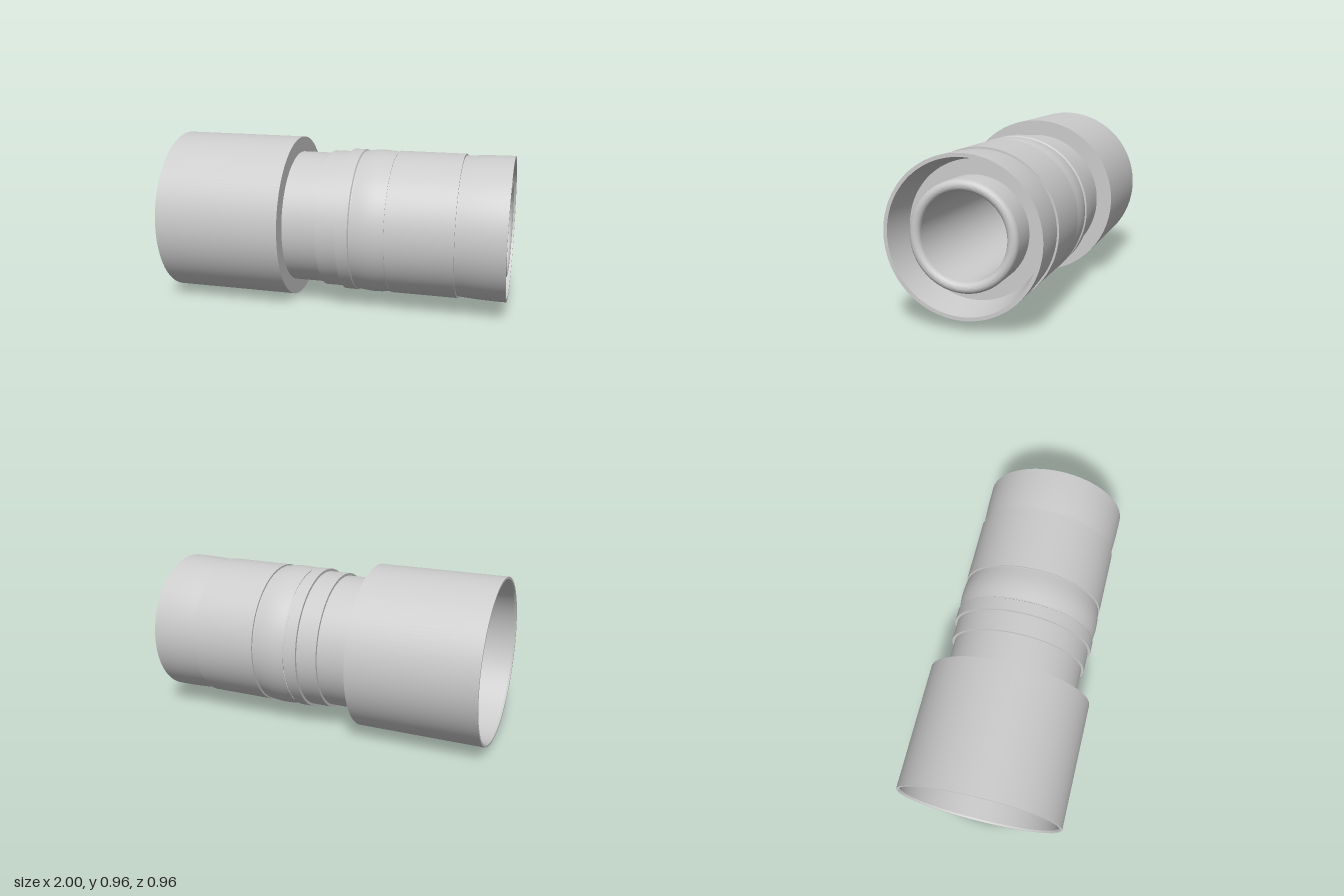
import * as THREE from 'three';
import { toCreasedNormals } from 'three/addons/utils/BufferGeometryUtils.js';

const SEGMENTS = 128;
const AXIS_HEIGHT = 0.48;
const BORE = 0.23;

// Points on an arc as [x, radius]
function arc(cx, cr, size, from, to, steps) {
  const pts = [];
  for (let i = 0; i <= steps; i++) {
    const a = from + ((to - from) * i) / steps;
    pts.push([cx + Math.cos(a) * size, cr + Math.sin(a) * size]);
  }
  return pts;
}

// Gently curved strip from radius r0 to r1, raised by bulge in the middle
function crown(x0, x1, r0, r1, bulge, steps = 10) {
  return Array.from({ length: steps + 1 }, (_, i) => {
    const t = i / steps;
    return [x0 + (x1 - x0) * t, r0 + (r1 - r0) * t + bulge * Math.sin(Math.PI * t)];
  });
}

export function createModel() {
  const group = new THREE.Group();
  const material = new THREE.MeshStandardMaterial({ color: 0xcccccc, side: THREE.DoubleSide });

  // Revolves a profile of [x, radius] points about the x axis
  function turned(name, profile) {
    const lathe = new THREE.LatheGeometry(profile.map(([x, r]) => new THREE.Vector2(r, x)), SEGMENTS);
    const geometry = toCreasedNormals(lathe, 0.4);
    geometry.rotateZ(-Math.PI / 2);
    const mesh = new THREE.Mesh(geometry, material);
    mesh.name = name;
    mesh.position.y = AXIS_HEIGHT;
    group.add(mesh);
  }

  // Wide sleeve with its recessed socket
  turned('socketSleeve', [
    [-0.69, BORE], [-0.69, 0.46], [-0.99, 0.46], [-1, 0.467],
    [-1, 0.48], [-0.26, 0.48], [-0.26, 0.39],
  ]);

  // Stepped neck
  turned('neck', [
    [-0.26, 0.39], [-0.06, 0.39], [-0.06, 0.405], [0.06, 0.405],
    [0.06, 0.42], [0.13, 0.42], [0.135, 0.41], [0.142, 0.41],
  ]);

  // Crowned grip ring
  turned('gripRing', crown(0.142, 0.333, 0.413, 0.413, 0.009));

  // Main barrel, with a narrow groove at each end
  turned('barrel', [
    [0.333, 0.413], [0.333, 0.409], [0.339, 0.409], [0.339, 0.42],
    [0.722, 0.42], [0.722, 0.409], [0.728, 0.409],
  ]);

  // Flared collar
  turned('collar', crown(0.728, 1, 0.41, 0.42, 0.003));

  // Collar rim, tapered recess and its floor
  turned('collarRecess', [[1, 0.42], [1, 0.4], [0.8, 0.37], [0.8, 0.285]]);

  // Inner tube with a rounded lip, its bore running through to the socket
  turned('innerTube', [
    [0.8, 0.288], ...arc(0.965, 0.259, 0.029, Math.PI / 2, -Math.PI / 2, 12), [-0.69, BORE],
  ]);

  return group;
}
